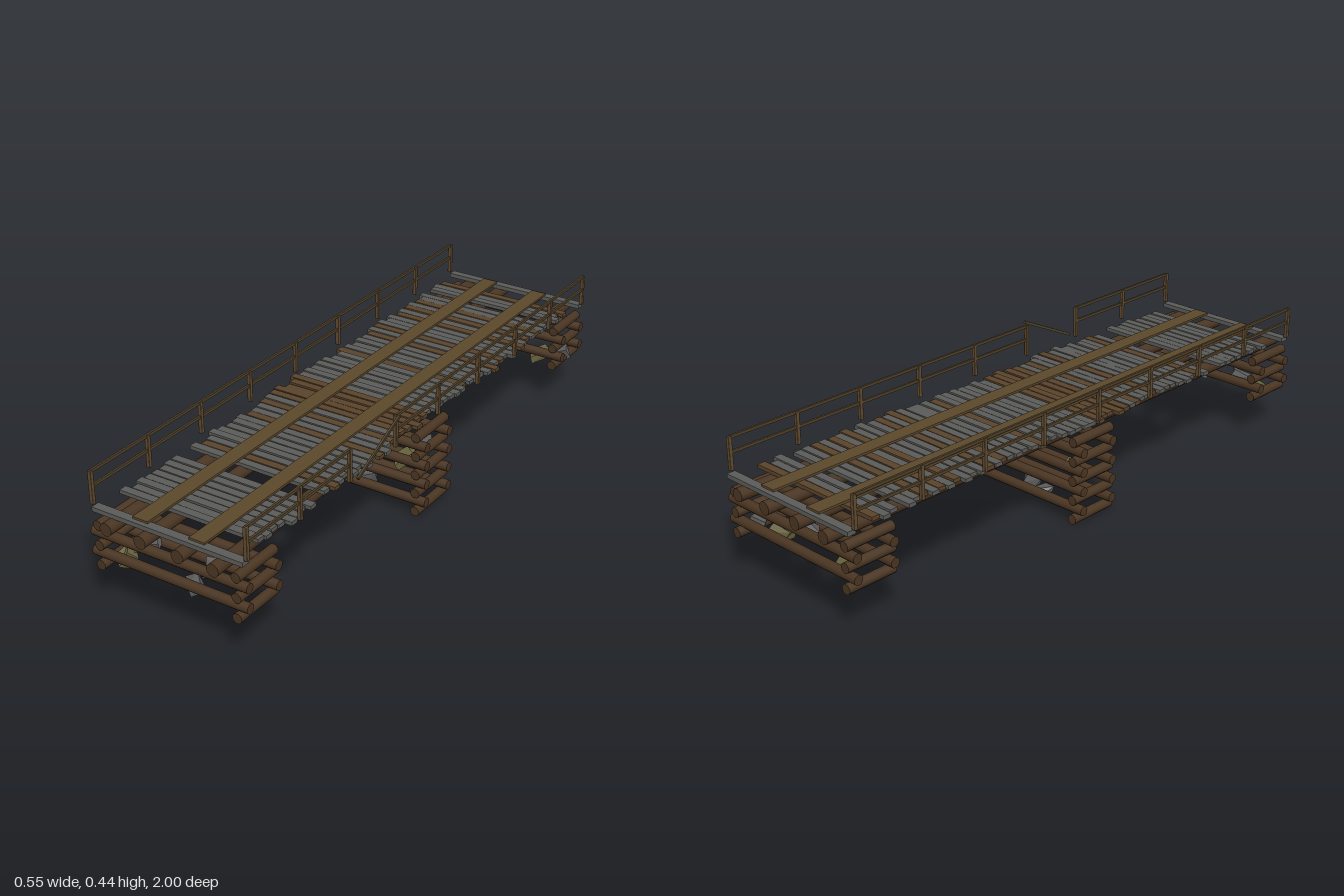
import * as THREE from 'three';
import { RoundedBoxGeometry } from 'three/addons/geometries/RoundedBoxGeometry.js';

const mat = (name, color, flat = false) => {
  const m = new THREE.MeshStandardMaterial({ color, flatShading: flat });
  m.name = name;
  return m;
};

// small seeded generator for the worn, uneven look
function seeded(seed) {
  return () => {
    seed = (seed * 16807) % 2147483647;
    return seed / 2147483647;
  };
}

export function createModel() {
  const log = mat('dark log', 0x4a3522);
  const greyWood = mat('weathered plank', 0x5b5b59);
  const brownWood = mat('brown plank', 0x5a432b);
  const runnerWood = mat('runner board', 0x5c482c);
  const postWood = mat('post wood', 0x5f4a2f);
  const railWood = mat('rail wood', 0x4f4029);
  const greyStone = mat('grey stone', 0x5c5c5c, true);
  const oliveStone = mat('olive stone', 0x69643f, true);
  const rnd = seeded(4711);
  const jitter = (a) => (rnd() * 2 - 1) * a;

  const model = new THREE.Group();
  model.name = 'logBridge';
  const group = (name) => {
    const g = new THREE.Group();
    g.name = name;
    model.add(g);
    return g;
  };
  const add = (parent, name, geo, material, x, y, z) => {
    const m = new THREE.Mesh(geo, material);
    m.name = name;
    m.position.set(x, y, z);
    parent.add(m);
    return m;
  };
  const box = (w, h, d) => new THREE.BoxGeometry(w, h, d);
  const logGeo = (r, length, axis) => {
    const g = new THREE.CylinderGeometry(r, r, length, 12);
    return axis === 'x' ? g.rotateZ(Math.PI / 2) : g.rotateX(Math.PI / 2);
  };

  // four long stringer logs
  const stringers = group('stringers');
  const stringerGeo = logGeo(0.0205, 2, 'z');
  for (const x of [-0.189, -0.071, 0.056, 0.173])
    add(stringers, 'stringerLog', stringerGeo, log, x, 0.291, 0);

  // cribs of crossed logs: five layers in the middle, three at each end
  const crossGeo = logGeo(0.0155, 0.531, 'x');
  const sideGeo = logGeo(0.0158, 0.168, 'z');
  const crib = (name, zc, firstLayer) => {
    const g = group(name);
    for (let i = firstLayer; i < 5; i++) {
      const y = 0.018 + i * 0.0638;
      for (const x of [-0.241, 0.227]) add(g, 'sideLog', sideGeo, log, x, y, zc);
      if (i < 4)
        for (const dz of [-0.065, 0.065])
          add(g, 'crossLog', crossGeo, log, -0.007, y + 0.032, zc + dz);
    }
    return g;
  };
  const middle = crib('middleCrib', 0, 0);
  const front = crib('frontCrib', 0.89, 2);
  const back = crib('backCrib', -0.89, 2);

  // rough stones: a box with pushed corners
  const stone = (parent, material, x, y, z, w, h, d, turn) => {
    const geo = box(w, h, d);
    const p = geo.attributes.position;
    for (let i = 0; i < p.count; i++) {
      const sx = Math.sign(p.getX(i)), sy = Math.sign(p.getY(i)), sz = Math.sign(p.getZ(i));
      const k = 0.8 + 0.25 * Math.sin(sx * 2.1 + sy * 3.7 + sz * 1.3 + x * 40);
      p.setXYZ(i, p.getX(i) * k, p.getY(i) * (1.7 - k), p.getZ(i) * k);
    }
    const m = add(parent, 'stone', geo, material, x, y, z);
    m.rotation.set(turn * 0.7, turn * 1.9, turn);
  };
  [
    [greyStone, 0.01, 0.203, 0.0, 0.06, 0.035, 0.05, 0.3],
    [greyStone, 0.2, 0.2, -0.02, 0.055, 0.04, 0.05, 0.2],
    [greyStone, 0.03, 0.145, 0.01, 0.055, 0.04, 0.05, -0.2],
    [oliveStone, 0.14, 0.145, 0.0, 0.075, 0.035, 0.05, 0.4],
    [oliveStone, -0.16, 0.15, 0.01, 0.06, 0.03, 0.05, -0.5],
    [greyStone, 0.01, 0.045, 0.01, 0.06, 0.045, 0.05, 0.3],
    [greyStone, -0.06, 0.035, -0.01, 0.055, 0.02, 0.05, -0.2],
  ].forEach(([m, ...v]) => stone(middle, m, ...v));
  [
    [greyStone, 0.08, 0.205, 0.89, 0.06, 0.04, 0.05, -0.5],
    [oliveStone, -0.21, 0.145, 0.9, 0.06, 0.04, 0.05, 0.5],
    [greyStone, -0.16, 0.185, 0.86, 0.08, 0.03, 0.05, 0.2],
    [greyStone, 0.03, 0.14, 0.9, 0.05, 0.04, 0.06, 0.3],
  ].forEach(([m, ...v]) => stone(front, m, ...v));
  [
    [greyStone, 0.01, 0.205, -0.89, 0.06, 0.04, 0.05, 0.4],
    [oliveStone, -0.15, 0.155, -0.9, 0.08, 0.035, 0.05, -0.4],
    [oliveStone, 0.15, 0.145, -0.88, 0.08, 0.035, 0.05, 0.3],
    [greyStone, 0.22, 0.155, -0.9, 0.05, 0.04, 0.05, 0.3],
  ].forEach(([m, ...v]) => stone(back, m, ...v));

  // uneven deck planks with a few missing
  const deck = group('deck');
  const gaps = [[-0.94, -0.88], [-0.79, -0.745], [0.565, 0.6], [0.87, 0.93]];
  const browns = [[-0.72, -0.55, 0.45], [-0.55, -0.22, 0.4], [0.05, 0.15, 0.8], [0.5, 0.55, 0.4]];
  for (let z = -0.925; z < 0.93; z += 0.0305) {
    if (gaps.some(([a, b]) => z > a && z < b)) continue;
    const chance = (browns.find(([a, b]) => z > a && z < b) || [0, 0, 0.06])[2];
    const m = rnd() < chance ? brownWood : greyWood;
    const plank = add(deck, 'plank', box(0.475 + jitter(0.014), 0.012, 0.0265), m,
      -0.008 + jitter(0.014), 0.3165 + jitter(0.002), z);
    plank.rotation.y = jitter(0.008);
  }
  for (const z of [-0.962, 0.955])
    add(deck, 'endPlank', box(0.51, 0.014, 0.028), greyWood, -0.007, 0.317, z);

  // two wheel runners along the deck
  for (const x of [-0.104, 0.088])
    add(model, 'runner', box(0.052, 0.007, 1.915), runnerWood, x, 0.327, -0.003);

  // railings; one bay on the left has come loose
  const postGeo = new RoundedBoxGeometry(0.0125, 0.104, 0.0125, 1, 0.002);
  const bay = 0.239;
  const railGeo = box(0.007, 0.009, bay);
  for (const [name, x] of [['rightRailing', -0.268], ['leftRailing', 0.253]]) {
    const g = group(name);
    for (let i = -4; i <= 4; i++) {
      add(g, 'post', postGeo, postWood, x, 0.378, i * bay);
      if (i === 4 || (x > 0 && i === 1)) continue;
      for (const y of [0.427, 0.381])
        add(g, 'rail', railGeo, railWood, x, y, (i + 0.5) * bay);
    }
  }
  const loose = add(model, 'looseRail', railGeo, railWood, 0.27, 0.384, 0.355);
  loose.rotation.x = 0.44;

  return model;
}
